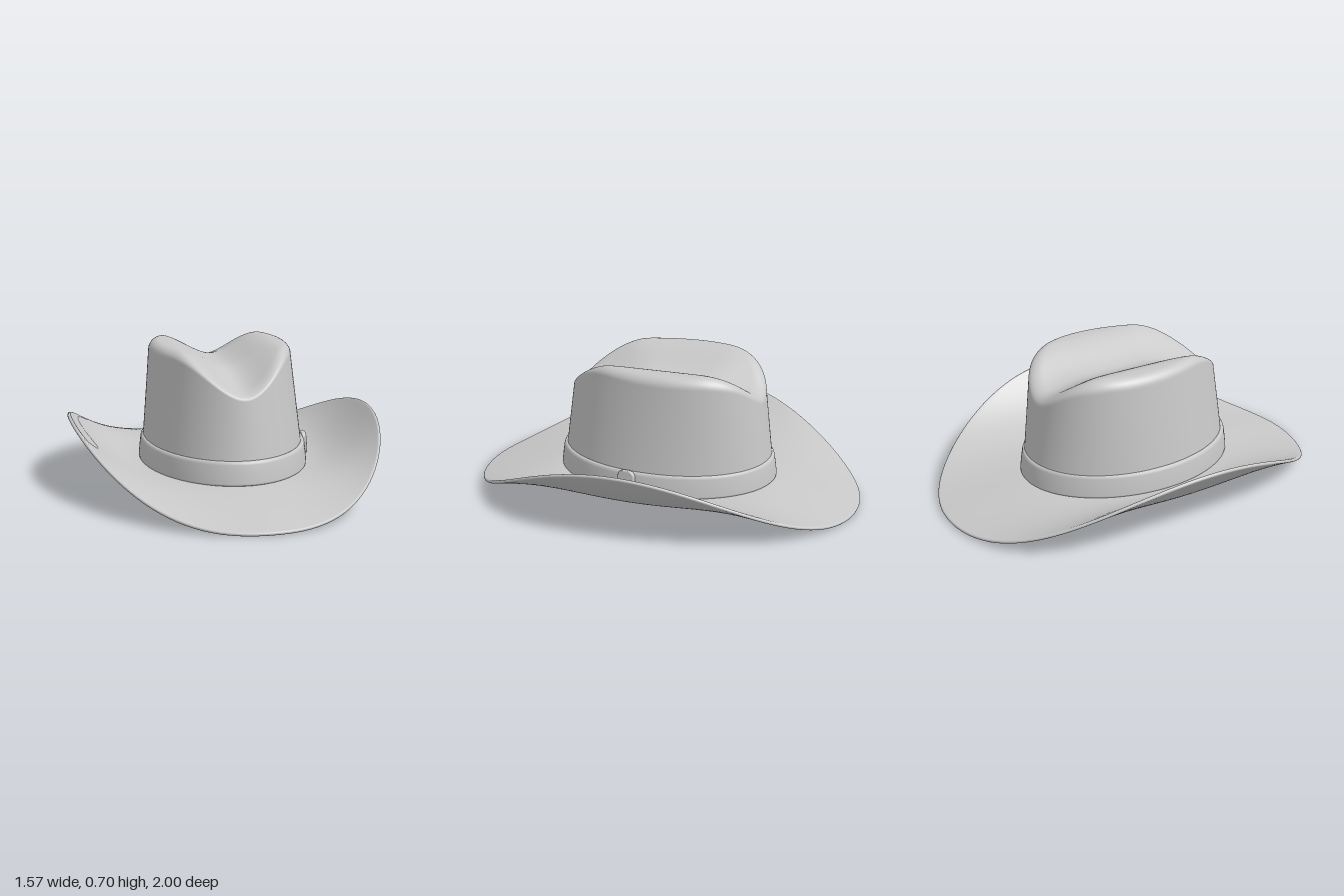
import * as THREE from 'three';

const { lerp, smoothstep } = THREE.MathUtils;
const felt = new THREE.MeshStandardMaterial({ color: 0xc8c8c8 });
felt.name = 'light grey felt';

const SEGMENTS = 128;
const BASE_Y = 0.09;
const BASE = [0.41, 0.558]; // crown half-width and half-length at its foot

// Smooth surface swept around the hat: point(angle, row) for each ring; angle 0 faces +z.
function rings(name, count, point, { closed = false, inward = false } = {}) {
  const pos = [], index = [];
  for (let j = 0; j < count; j++) {
    for (let i = 0; i < SEGMENTS; i++) pos.push(...point((i / SEGMENTS) * Math.PI * 2, j));
  }
  for (let j = 0; j < (closed ? count : count - 1); j++) {
    for (let i = 0; i < SEGMENTS; i++) {
      const n = (i + 1) % SEGMENTS, k = (j + 1) % count;
      const a = j * SEGMENTS + i, b = j * SEGMENTS + n;
      const c = k * SEGMENTS + n, d = k * SEGMENTS + i;
      if (inward) index.push(a, c, b, a, d, c);
      else index.push(a, b, c, a, c, d);
    }
  }
  const geometry = new THREE.BufferGeometry();
  geometry.setAttribute('position', new THREE.Float32BufferAttribute(pos, 3));
  geometry.setIndex(index);
  geometry.computeVertexNormals();
  const mesh = new THREE.Mesh(geometry, felt);
  mesh.name = name;
  return mesh;
}

// Height of the creased top: a valley along x = 0 between two ridges, lower at both ends.
function topHeight(x, z) {
  const valley = 0.6 - 0.075 * smoothstep(z, 0.1, 0.5) - 0.045 * smoothstep(-z, 0.2, 0.5);
  const ridge = 0.697 - 0.05 * smoothstep(z, 0.2, 0.5) - 0.03 * smoothstep(-z, 0.25, 0.5);
  return lerp(valley, ridge, smoothstep(Math.abs(x), 0, 0.27));
}

// Crown: straight leaning wall, rounded shoulder, creased top.
const WALL = 16, SHOULDER = 10, TOP = 36, ROUND = 0.15;
function crownPoint(angle, row) {
  const s = Math.sin(angle), c = Math.cos(angle);
  const ez = 0.505 * c;
  const ex = 0.352 * s * (1 - 0.15 * c); // narrower at the front
  const drop = lerp(0.055, 0.03, Math.max(0, c));
  if (row <= WALL) {
    const f = row / WALL;
    return [lerp(BASE[0] * s, ex, f), lerp(BASE_Y, topHeight(ex, ez) - drop, f), lerp(BASE[1] * c, ez, f)];
  }
  let u, lower = 0;
  if (row <= WALL + SHOULDER) {
    const b = ((row - WALL) / SHOULDER) * Math.PI / 2;
    u = 1 - ROUND + ROUND * Math.cos(b);
    lower = drop * (1 - Math.sin(b));
  } else {
    u = (1 - ROUND) * (1 - (row - WALL - SHOULDER) / TOP);
  }
  return [ex * u, topHeight(ex * u, ez * u) - lower, ez * u];
}

function liningPoint(angle, row) {
  const [x, y, z] = crownPoint(angle, row);
  return [x * 0.965, y - 0.015 * Math.min(1, row / WALL), z * 0.965];
}

// Brim: rolled up at the sides, dipping at front and back.
const HALF = 0.009;
function brimHeight(angle, t) {
  const side = Math.abs(Math.sin(angle));
  const rim = 0.01 + 0.326 * side ** 3;
  return lerp(0.094, rim, Math.pow(t, 1.2 + 0.8 * side * side));
}

// Brim section as [t across the brim, offset along its normal, extra outward]
const brimSection = [];
const ACROSS = 24;
for (let i = 0; i <= ACROSS; i++) brimSection.push([i / ACROSS, -HALF, 0]);
for (let i = 1; i < 8; i++) {
  const p = (i / 8 - 0.5) * Math.PI;
  brimSection.push([1, HALF * Math.sin(p), HALF * Math.cos(p)]);
}
for (let i = ACROSS; i >= 0; i--) brimSection.push([i / ACROSS, HALF, 0]);
brimSection.push([0, 0, -0.006]);

function brimPoint(angle, row) {
  const [t, off, out] = brimSection[row];
  const s = Math.sin(angle), c = Math.cos(angle);
  const width = 0.38 * s * s + 0.455 * c * c;
  const e = 0.01, t0 = Math.max(0, t - e), t1 = Math.min(1, t + e);
  const slope = (brimHeight(angle, t1) - brimHeight(angle, t0)) / ((t1 - t0) * width);
  const n = Math.hypot(1, slope);
  const shift = (out - slope * off) / n;
  return [
    s * (lerp(0.4, 0.774, t) + shift),
    brimHeight(angle, t) + (off + slope * out) / n,
    c * (lerp(0.542, 0.991, t) + shift),
  ];
}

// Hat band section as [distance out from the crown wall, height]
const bandSection = [
  [-0.01, 0.1], [0.008, 0.1], [0.013, 0.104], [0.015, 0.112], [0.015, 0.16],
  [0.014, 0.2], [0.012, 0.21], [0.007, 0.216], [0, 0.217], [-0.01, 0.215],
];
function bandPoint(angle, row) {
  const [out, y] = bandSection[row];
  const rise = y - BASE_Y;
  return [
    Math.sin(angle) * (BASE[0] - 0.1 * rise + out),
    y,
    Math.cos(angle) * (BASE[1] - 0.13 * rise + out),
  ];
}

// Buckle: rounded plate on the band
function makeBuckle() {
  const w = 0.038, h = 0.052, r = 0.026;
  const shape = new THREE.Shape();
  shape.absarc(w - r, h - r, r, 0, Math.PI / 2);
  shape.absarc(r - w, h - r, r, Math.PI / 2, Math.PI);
  shape.absarc(r - w, r - h, r, Math.PI, Math.PI * 1.5);
  shape.absarc(w - r, r - h, r, Math.PI * 1.5, Math.PI * 2);
  const geometry = new THREE.ExtrudeGeometry(shape, {
    depth: 0.012, bevelThickness: 0.006, bevelSize: 0.006, bevelSegments: 4, curveSegments: 10,
  });
  const buckle = new THREE.Mesh(geometry, felt);
  buckle.name = 'buckle';
  buckle.rotation.set(-0.08, Math.PI / 2 - 0.09, 0, 'YXZ');
  buckle.position.set(0.413, 0.167, 0.07);
  return buckle;
}

export function createModel() {
  const hat = new THREE.Group();
  hat.name = 'hat';
  const crownRows = WALL + SHOULDER + TOP + 1;
  hat.add(
    rings('crown', crownRows, crownPoint),
    rings('crownLining', crownRows, liningPoint, { inward: true }),
    rings('brim', brimSection.length, brimPoint, { closed: true }),
    rings('hatBand', bandSection.length, bandPoint, { closed: true }),
    makeBuckle(),
  );
  return hat;
}
